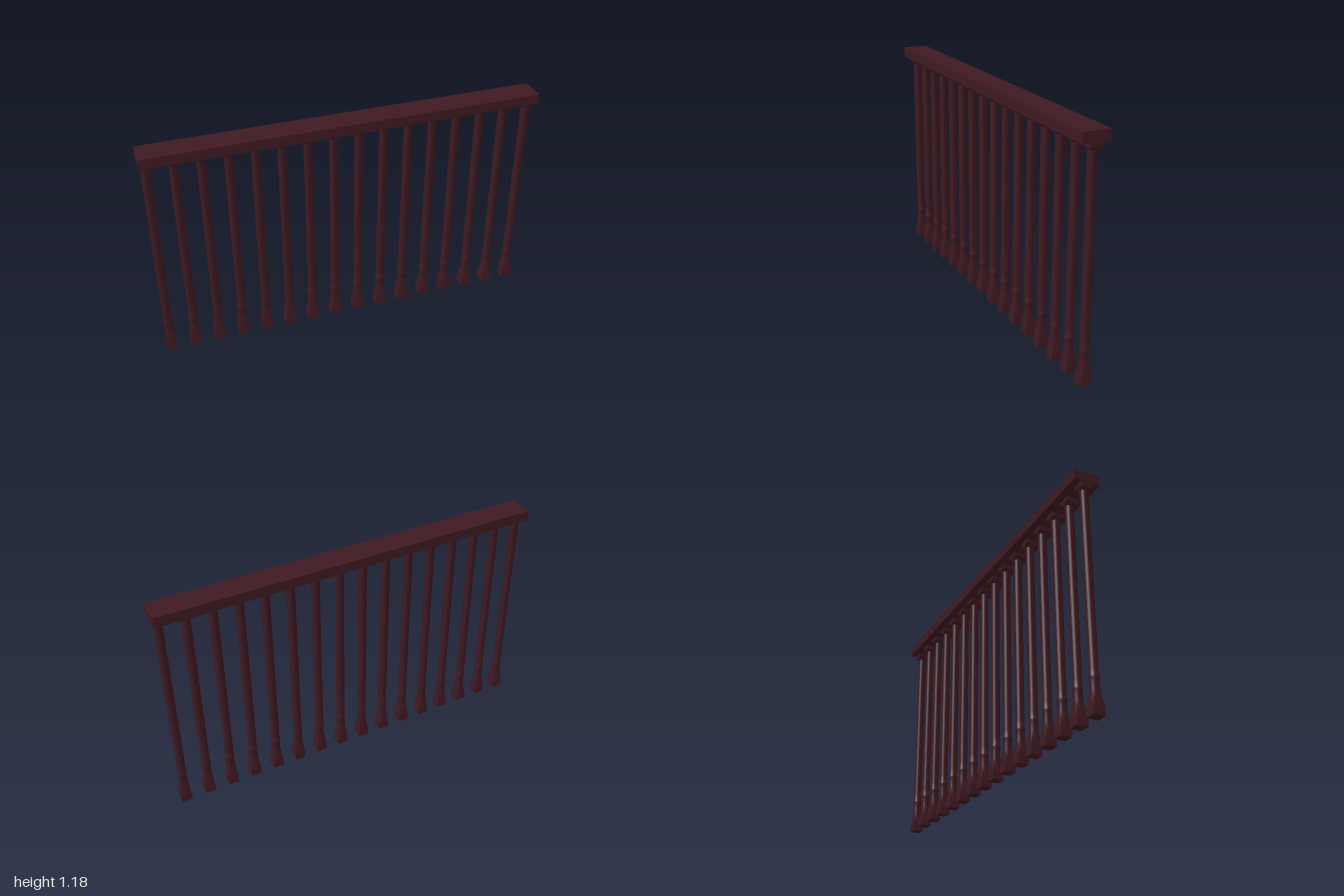
import * as THREE from 'three';
import { toCreasedNormals } from 'three/addons/utils/BufferGeometryUtils.js';

const COUNT = 16;
const FIRST_X = -0.968;
const RAIL_BOTTOM = 1.13;

// Turned post: each profile point is [radius, height, squareness], 0 = round, 1 = square
function balusterGeometry() {
  const profile = [
    [0, 0, 1], [0.028, 0, 1], [0.028, 0.03, 1],              // square foot
    [0.026, 0.07, 0.6], [0.023, 0.11, 0.15], [0.021, 0.16, 0], // taper to round
    [0.024, 0.168, 0], [0.024, 0.178, 0], [0.021, 0.186, 0],  // ring
    [0.022, 0.22, 0], [0.022, 1.095, 0],                      // shaft
    [0.03, 1.108, 1], [0.03, RAIL_BOTTOM, 1],                 // square capital
  ];
  const points = profile.map(([r, y]) => new THREE.Vector2(r, y));
  const geometry = new THREE.LatheGeometry(points, 16);
  const pos = geometry.attributes.position;
  for (let i = 0; i < pos.count; i++) {
    const x = pos.getX(i), z = pos.getZ(i);
    const r = Math.hypot(x, z);
    if (r < 1e-6) continue;
    const toSquare = r / Math.max(Math.abs(x), Math.abs(z));
    const s = THREE.MathUtils.lerp(1, toSquare, profile[i % profile.length][2]);
    pos.setXYZ(i, x * s, pos.getY(i), z * s);
  }
  return toCreasedNormals(geometry, 0.6);
}

export function createModel() {
  const group = new THREE.Group();
  group.name = 'balustrade';
  const wood = new THREE.MeshStandardMaterial({ color: 0x3f1a22 });

  // Handrail
  const rail = new THREE.Mesh(new THREE.BoxGeometry(2, 0.052, 0.132), wood);
  rail.name = 'handrail';
  rail.position.y = RAIL_BOTTOM + 0.026;
  group.add(rail);

  // Row of evenly spaced balusters
  const geometry = balusterGeometry();
  const step = (-2 * FIRST_X) / (COUNT - 1);
  for (let i = 0; i < COUNT; i++) {
    const baluster = new THREE.Mesh(geometry, wood);
    baluster.name = `baluster${i + 1}`;
    baluster.position.x = FIRST_X + i * step;
    group.add(baluster);
  }
  return group;
}
